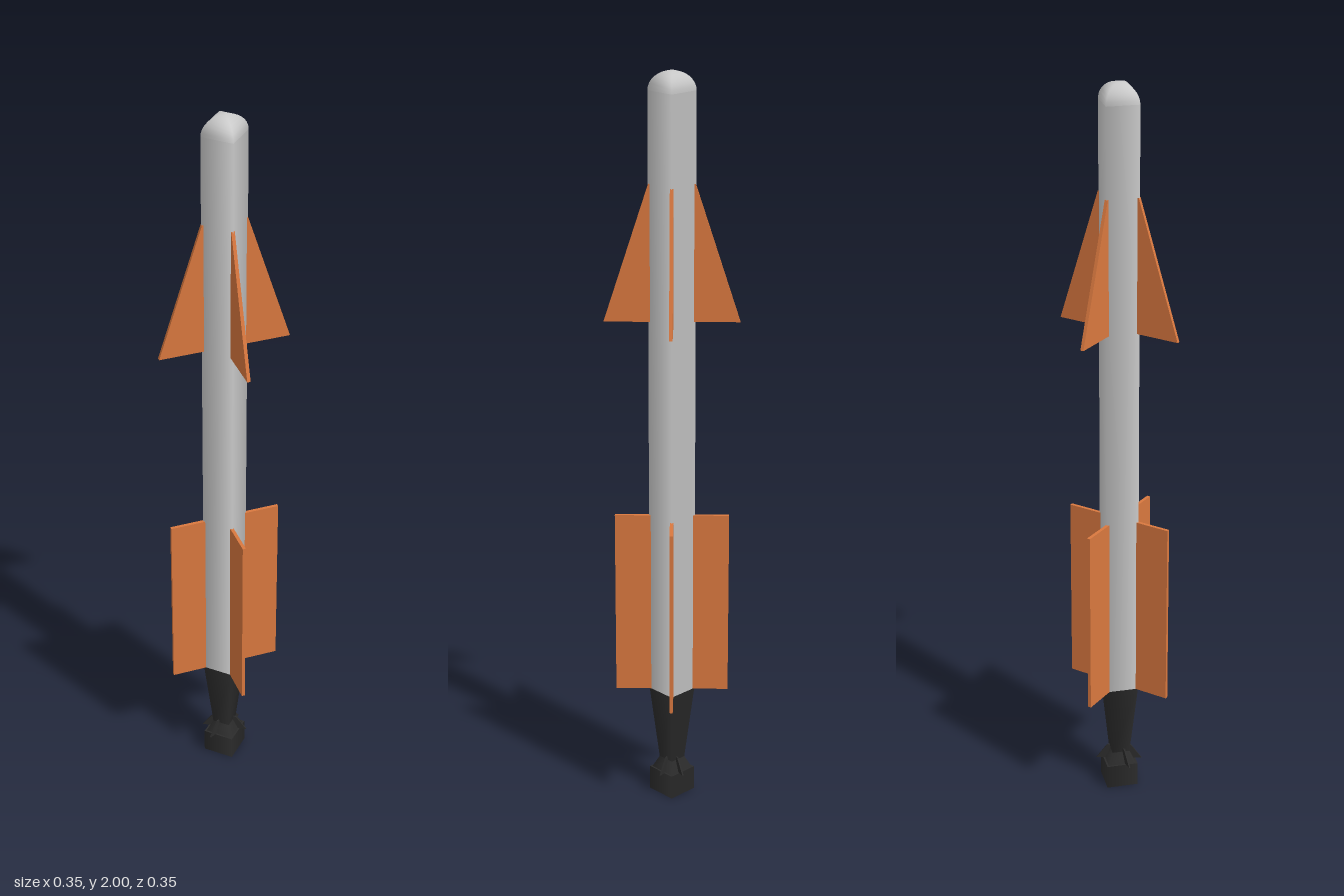
import * as THREE from 'three';

const R = 0.061; // corner radius of the four-sided body

export function createModel() {
  const model = new THREE.Group();
  const grey = new THREE.MeshStandardMaterial({ color: 0xcccccc });
  const orange = new THREE.MeshStandardMaterial({ color: 0xd9783f });
  const dark = new THREE.MeshStandardMaterial({ color: 0x2b2b2b });

  function add(name, geometry, material, parent = model) {
    const mesh = new THREE.Mesh(geometry, material);
    mesh.name = name;
    parent.add(mesh);
    return mesh;
  }

  // Four-sided section with corners on the x and z axes
  function section(name, rTop, rBottom, y0, y1, material) {
    const geometry = new THREE.CylinderGeometry(rTop, rBottom, y1 - y0, 4);
    add(name, geometry, material).position.y = (y0 + y1) / 2;
  }

  // Thin plate with an outline in radius and height, turned about the axis
  function plate(name, outline, thickness, angle, material) {
    const shape = new THREE.Shape(outline.map(([r, y]) => new THREE.Vector2(r, y)));
    const geometry = new THREE.ExtrudeGeometry(shape, { depth: thickness, bevelEnabled: false });
    geometry.translate(0, 0, -thickness / 2);
    add(name, geometry, material).rotation.y = angle;
  }

  // Body and rounded nose
  section('body', R, R, 0.31, 1.95, grey);
  const dome = [];
  for (let i = 0; i <= 8; i++) {
    const a = (i / 8) * Math.PI / 2;
    dome.push(new THREE.Vector2(R * Math.cos(a), 1.95 + 0.05 * Math.sin(a)));
  }
  dome[8].x = 0;
  add('nose', new THREE.LatheGeometry(dome, 4), grey);

  // Tapered tail, flare and end block
  section('tailCone', R, 0.034, 0.1, 0.31, dark);
  section('tailFlare', 0.034, 0.056, 0.065, 0.1, dark);
  section('tailBlock', R, R, 0, 0.068, dark);

  // Delta fins near the nose and straight fins near the tail
  for (let i = 0; i < 4; i++) {
    const angle = i * Math.PI / 2;
    plate('frontFin', [[0.05, 1.355], [0.176, 1.355], [0.06, 1.715], [0.05, 1.715]], 0.009, angle, orange);
    plate('rearFin', [[0.05, 0.31], [0.152, 0.31], [0.152, 0.82], [0.05, 0.82]], 0.009, angle, orange);
  }

  // Small tail vanes
  for (const base of [0, Math.PI]) {
    for (const side of [-1, 1]) {
      plate('tailVane', [[0.02, 0.068], [0.063, 0.068], [0.033, 0.11], [0.02, 0.11]], 0.004,
        base + side * Math.PI / 6, dark);
    }
  }
  return model;
}
